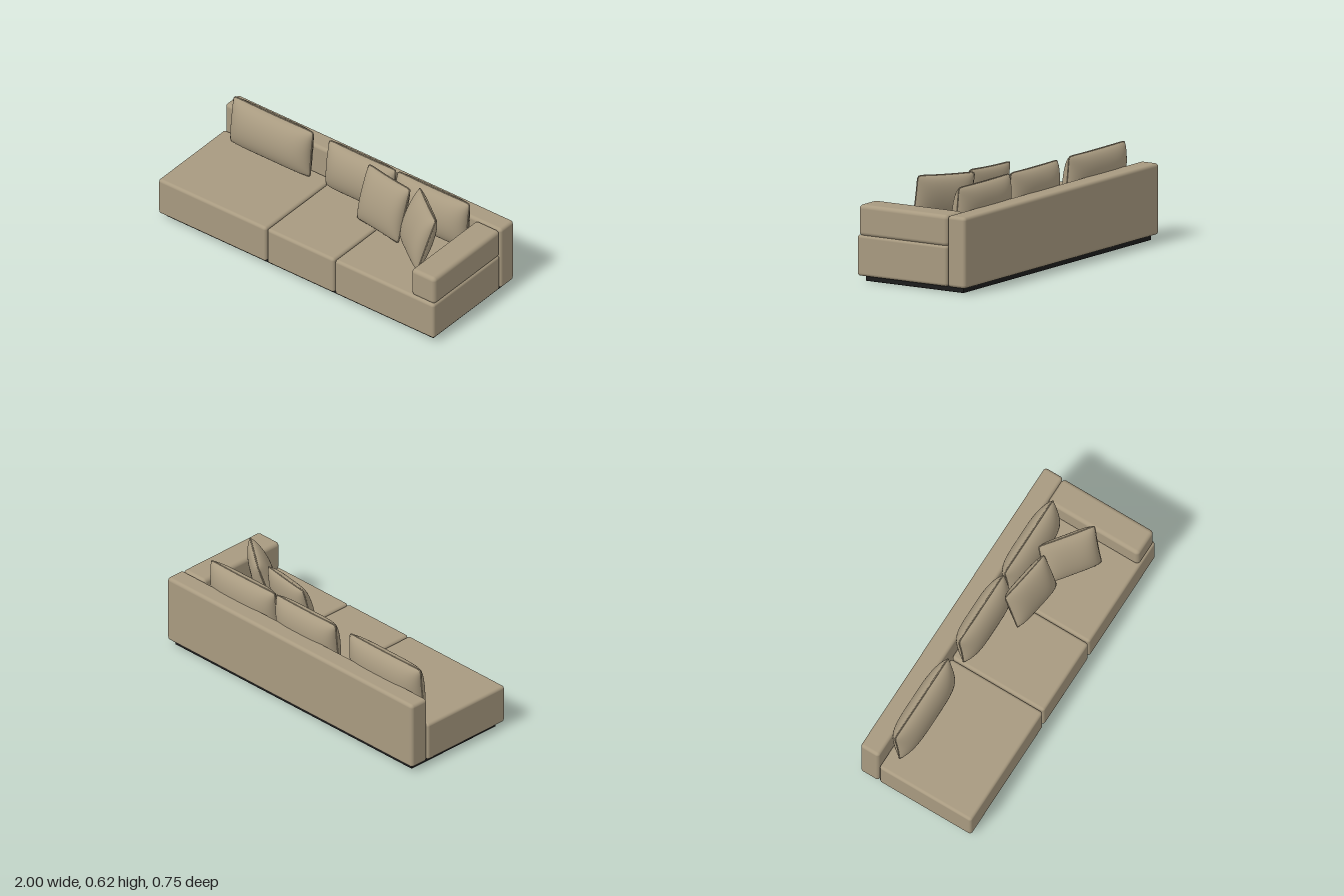
import * as THREE from 'three';
import { mergeGeometries } from 'three/addons/utils/BufferGeometryUtils.js';
import { RoundedBoxGeometry } from 'three/addons/geometries/RoundedBoxGeometry.js';

const fabric = new THREE.MeshStandardMaterial({ color: 0xa89a80 });
fabric.name = 'beige fabric';
const plinth = new THREE.MeshStandardMaterial({ color: 0x1c1c1c });
plinth.name = 'black plinth';

// Rounded block given by its extents on each axis
function block(name, [x0, x1], [y0, y1], [z0, z1], radius, material) {
  const mesh = new THREE.Mesh(new RoundedBoxGeometry(x1 - x0, y1 - y0, z1 - z0, 4, radius), material);
  mesh.position.set((x0 + x1) / 2, (y0 + y1) / 2, (z0 + z1) / 2);
  mesh.name = name;
  return mesh;
}

// Pillow outline: sides pinched in the middle, corners rounded off; u and v run from -1 to 1
const outline = (u, v, w, h) => [
  u * (w / 2) * (1 - 0.02 * (1 - v * v) - 0.03 * v ** 16),
  v * (h / 2) * (1 - 0.025 * (1 - u * u) - 0.03 * u ** 16),
];

// One stuffed face of a pillow; side is 1 for the front, -1 for the back
function pillowFace(w, h, depth, side) {
  const geo = new THREE.PlaneGeometry(2, 2, 32, 32);
  const p = geo.attributes.position;
  for (let i = 0; i < p.count; i++) {
    const u = Math.sin(p.getX(i) * Math.PI / 2), v = Math.sin(p.getY(i) * Math.PI / 2);
    const bulge = Math.sqrt(Math.max(0, (1 - u ** 4) * (1 - v * v)));
    const [x, y] = outline(u, v, w, h);
    p.setXYZ(i, x * side, y, side * bulge * depth / 2);
  }
  geo.computeVertexNormals();
  return geo;
}

// Piping that follows the pillow seam
function piping(w, h) {
  const points = [];
  const n = 16;
  const corners = [[-1, -1], [1, -1], [1, 1], [-1, 1]];
  corners.forEach(([a, b], k) => {
    const [c, d] = corners[(k + 1) % 4];
    for (let i = 0; i < n; i++) {
      const t = (1 - Math.cos(Math.PI * i / n)) / 2;
      const [x, y] = outline(a + (c - a) * t, b + (d - b) * t, w, h);
      points.push(new THREE.Vector3(x, y, 0));
    }
  });
  return new THREE.TubeGeometry(new THREE.CatmullRomCurve3(points, true), 128, 0.004, 6, true);
}

function pillow(name, [w, h, depth], position, yaw, tilt) {
  const geo = mergeGeometries([pillowFace(w, h, depth, 1), pillowFace(w, h, depth, -1), piping(w, h)]);
  const mesh = new THREE.Mesh(geo, fabric);
  mesh.name = name;
  mesh.position.set(...position);
  mesh.rotation.set(-tilt, yaw, 0, 'YXZ');
  return mesh;
}

export function createModel() {
  const sofa = new THREE.Group();
  sofa.name = 'sofa';

  // Recessed plinth
  sofa.add(block('base', [-0.965, 0.965], [0, 0.04], [-0.34, 0.333], 0.004, plinth));

  // Three seat blocks
  [[-1, -0.219], [-0.213, 0.273], [0.279, 0.998]].forEach((xs, i) =>
    sofa.add(block('seat' + (i + 1), xs, [0.031, 0.27], [-0.246, 0.373], 0.018, fabric)));

  // Backrest along the full length and one armrest
  sofa.add(block('backrest', [-1, 1], [0.031, 0.446], [-0.373, -0.249], 0.02, fabric));
  sofa.add(block('armrest', [0.825, 0.997], [0.264, 0.446], [-0.249, 0.363], 0.024, fabric));

  // Back cushions
  [[-0.61, 0.58], [0.035, 0.485], [0.55, 0.525]].forEach(([x, w], i) =>
    sofa.add(pillow('backCushion' + (i + 1), [w, 0.3, 0.165], [x, 0.425, -0.187], 0, 0.11)));

  // Loose throw pillows
  sofa.add(pillow('throwPillowLeft', [0.345, 0.345, 0.13], [0.312, 0.447, -0.042], -0.15, 0.28));
  sofa.add(pillow('throwPillowRight', [0.345, 0.35, 0.13], [0.622, 0.445, 0.03], -0.64, 0.32));
  return sofa;
}
